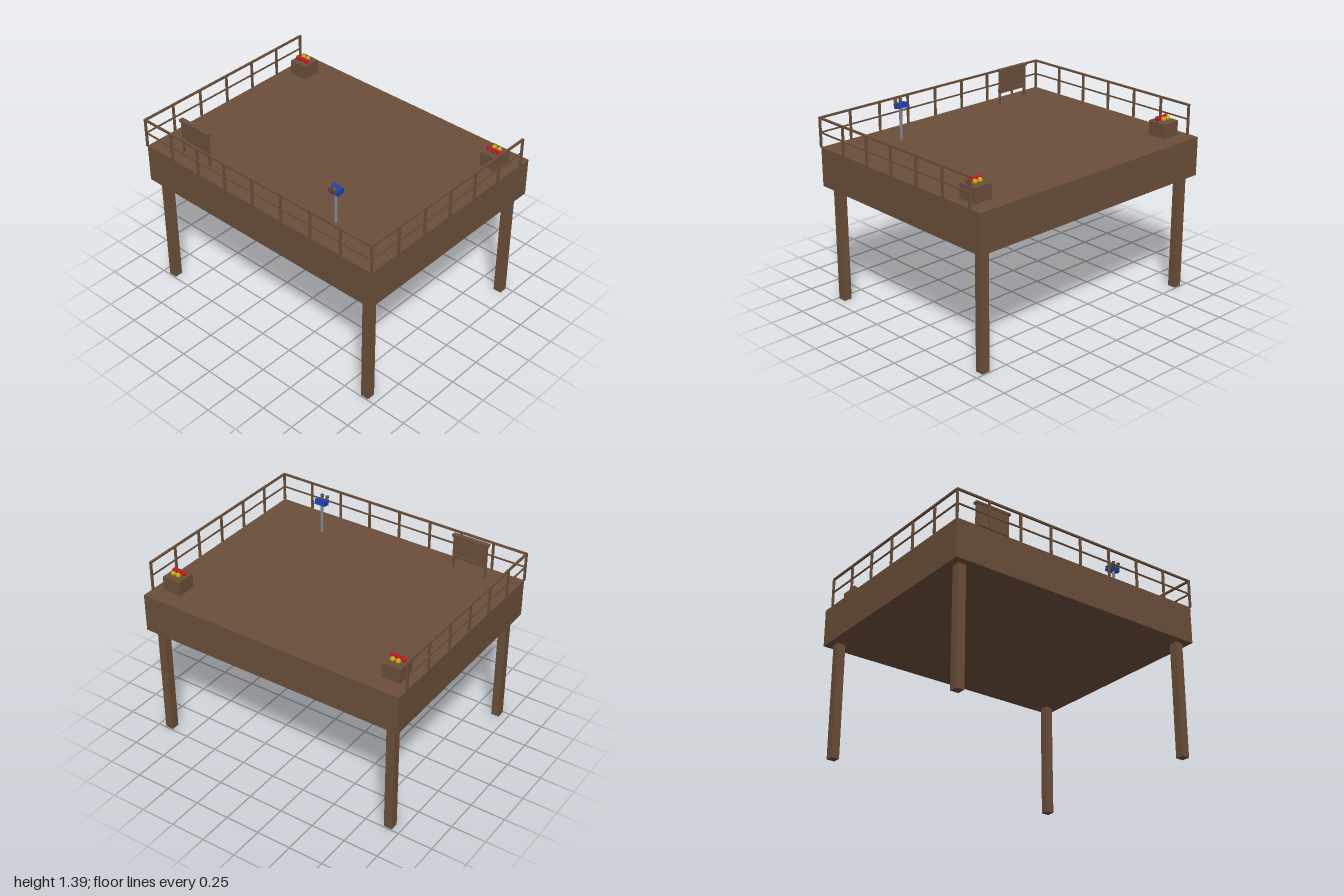
import * as THREE from 'three';

const mat = (name, color) => {
  const m = new THREE.MeshStandardMaterial({ color });
  m.name = name;
  return m;
};

export function createModel() {
  const wood = mat('brown wood', 0x6b4f3a);
  const red = mat('red fruit', 0xc8141e);
  const yellow = mat('yellow fruit', 0xc9a515);
  const blue = mat('blue paint', 0x2040a8);
  const grey = mat('grey metal', 0x80858c);

  const model = new THREE.Group();
  model.name = 'observationDeck';

  const group = (name) => {
    const g = new THREE.Group();
    g.name = name;
    model.add(g);
    return g;
  };
  const add = (parent, name, geometry, material, x, y, z) => {
    const mesh = new THREE.Mesh(geometry, material);
    mesh.name = name;
    mesh.position.set(x, y, z);
    parent.add(mesh);
    return mesh;
  };
  const box = (parent, name, w, h, d, x, y, z, material = wood) =>
    add(parent, name, new THREE.BoxGeometry(w, h, d), material, x, y, z);

  // Platform and four legs
  const top = 1.113, bottom = 0.837;
  box(model, 'platform', 1.58, top - bottom, 1.986, 0, (top + bottom) / 2, 0);
  for (const sx of [-1, 1])
    for (const sz of [-1, 1])
      box(model, 'leg', 0.06, bottom, 0.06, sx * 0.711, bottom / 2, sz * 0.914);

  // Railings on the front, back and right sides
  const railing = group('railing');
  const railX = -0.79, railZ = 0.993, step = 0.248, post = 0.014;
  const railTop = 1.325, midY = 1.217;
  const addPost = (x, z) =>
    box(railing, 'railPost', post, railTop - top, post, x, (railTop + top) / 2, z);
  for (const z of [-railZ, railZ]) {
    for (let i = 0; i <= 6; i++) addPost(railX + i * step, z);
    const length = 6 * step, x = railX + length / 2;
    box(railing, 'topRail', length + post, 0.013, post, x, railTop - 0.006, z);
    box(railing, 'middleRail', length, 0.009, 0.009, x, midY, z);
  }
  for (let i = 1; i < 8; i++) addPost(railX, -railZ + (i * railZ) / 4);
  box(railing, 'topRail', post, 0.013, 2 * railZ, railX, railTop - 0.006, 0);
  box(railing, 'middleRail', 0.009, 0.009, 2 * railZ, railX, midY, 0);

  // Crates of fruit in the two left corners
  const fruit = new THREE.SphereGeometry(0.017, 20, 14);
  for (const z of [-0.856, 0.856]) {
    const crate = group('fruitCrate');
    box(crate, 'crate', 0.138, 0.104, 0.138, 0.597, top + 0.052, z);
    for (const dz of [-0.04, 0, 0.04])
      add(crate, 'redFruit', fruit, red, 0.577, 1.233, z + dz);
    for (const dz of [-0.02, 0.02])
      add(crate, 'yellowFruit', fruit, yellow, 0.614, 1.233, z + dz);
  }

  // Information board on two posts
  const board = group('informationBoard');
  const bx = -0.671, bz = -0.635;
  box(board, 'panel', 0.021, 0.16, 0.24, bx, 1.277, bz);
  box(board, 'topCap', 0.034, 0.016, 0.274, bx, 1.363, bz);
  box(board, 'lowerLedge', 0.034, 0.024, 0.244, bx, 1.207, bz);
  for (const s of [-1, 1])
    box(board, 'boardPost', 0.013, 0.25, 0.016, bx, top + 0.125, bz + s * 0.122);

  // Tilted viewer on a pole
  const viewer = group('viewer');
  add(viewer, 'pole', new THREE.CylinderGeometry(0.011, 0.011, 0.23, 20), grey, -0.557, top + 0.115, 0.498);
  const head = new THREE.Group();
  head.name = 'viewerHead';
  head.position.set(-0.552, 1.352, 0.495);
  head.rotation.z = 0.22;
  viewer.add(head);
  box(head, 'viewerBody', 0.056, 0.036, 0.082, 0, 0, 0, blue);
  for (const s of [-1, 1])
    add(head, 'eyepiece', new THREE.CylinderGeometry(0.012, 0.012, 0.04, 20), wood, -0.029, 0.026, s * 0.021);

  return model;
}
